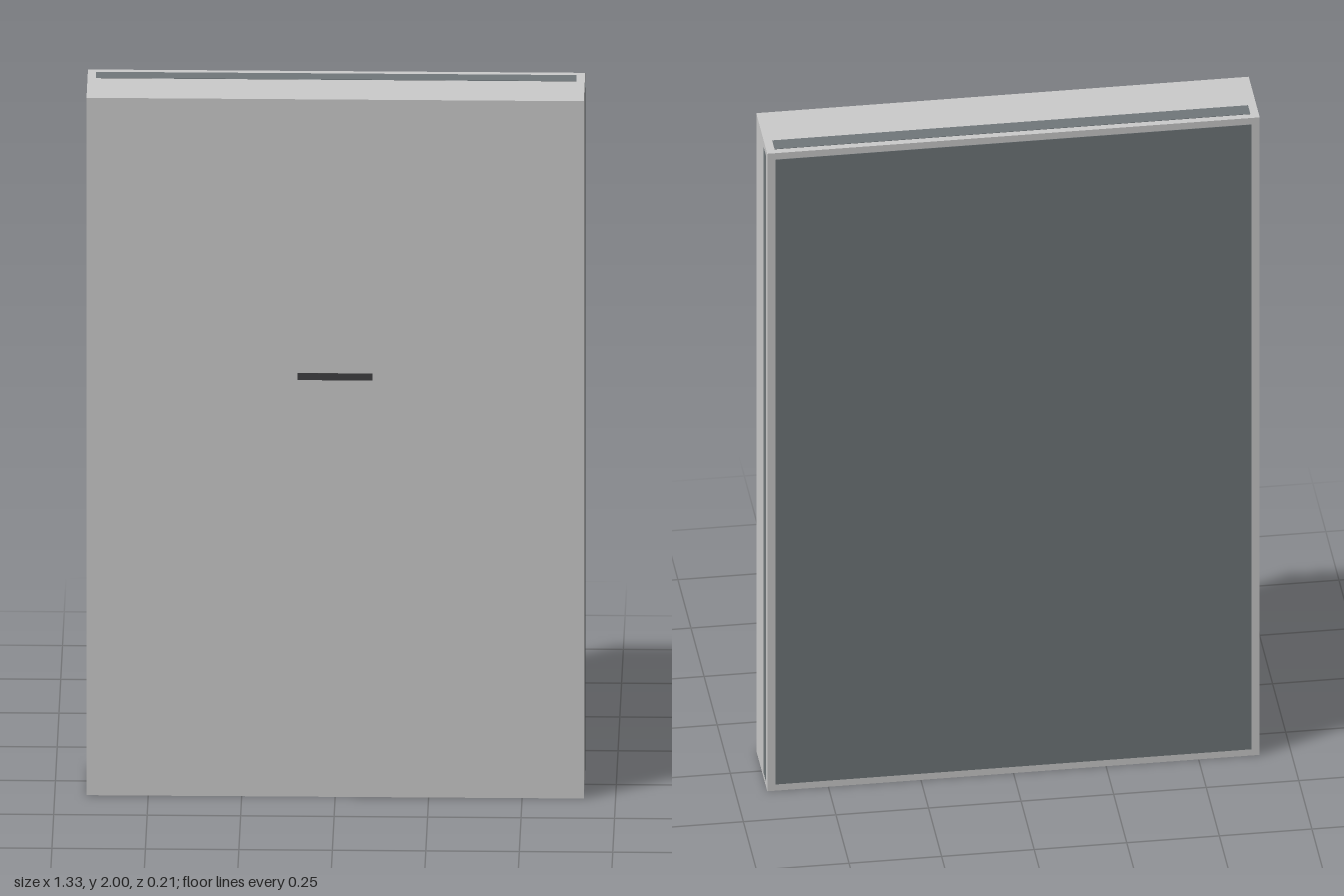
import * as THREE from 'three';

export function createModel() {
  const model = new THREE.Group();
  const grey = new THREE.MeshStandardMaterial({ color: 0xcccccc });
  const slate = new THREE.MeshStandardMaterial({ color: 0x70777a });
  const dark = new THREE.MeshStandardMaterial({ color: 0x404042 });

  const W = 1.33, H = 2, D = 0.21, border = 0.02;
  const proud = 0.001; // inlays sit a hair above the body

  function box(name, material, size, position) {
    const mesh = new THREE.Mesh(new THREE.BoxGeometry(...size), material);
    mesh.name = name;
    mesh.position.set(...position);
    model.add(mesh);
  }

  // Main slab
  box('body', grey, [W, H, D], [0, H / 2, 0]);

  // Back panel framed by a thin border
  const panelW = W - 2 * border - 0.005, panelH = H - 2 * border;
  box('backPanel', slate, [panelW, panelH, 2 * proud], [0, H / 2, -D / 2]);

  // Inlaid strips on the sides and top, near the back
  const stripZ = -0.063, stripD = 0.045;
  for (const [name, side] of [['leftStrip', 1], ['rightStrip', -1]]) {
    box(name, slate, [2 * proud, panelH, stripD], [side * W / 2, H / 2, stripZ]);
  }
  box('topStrip', slate, [panelW, 2 * proud, stripD], [0, H, stripZ]);

  // Small slot on the front
  box('frontSlot', dark, [0.2, 0.02, 2 * proud], [0, 1.205, D / 2]);

  return model;
}
